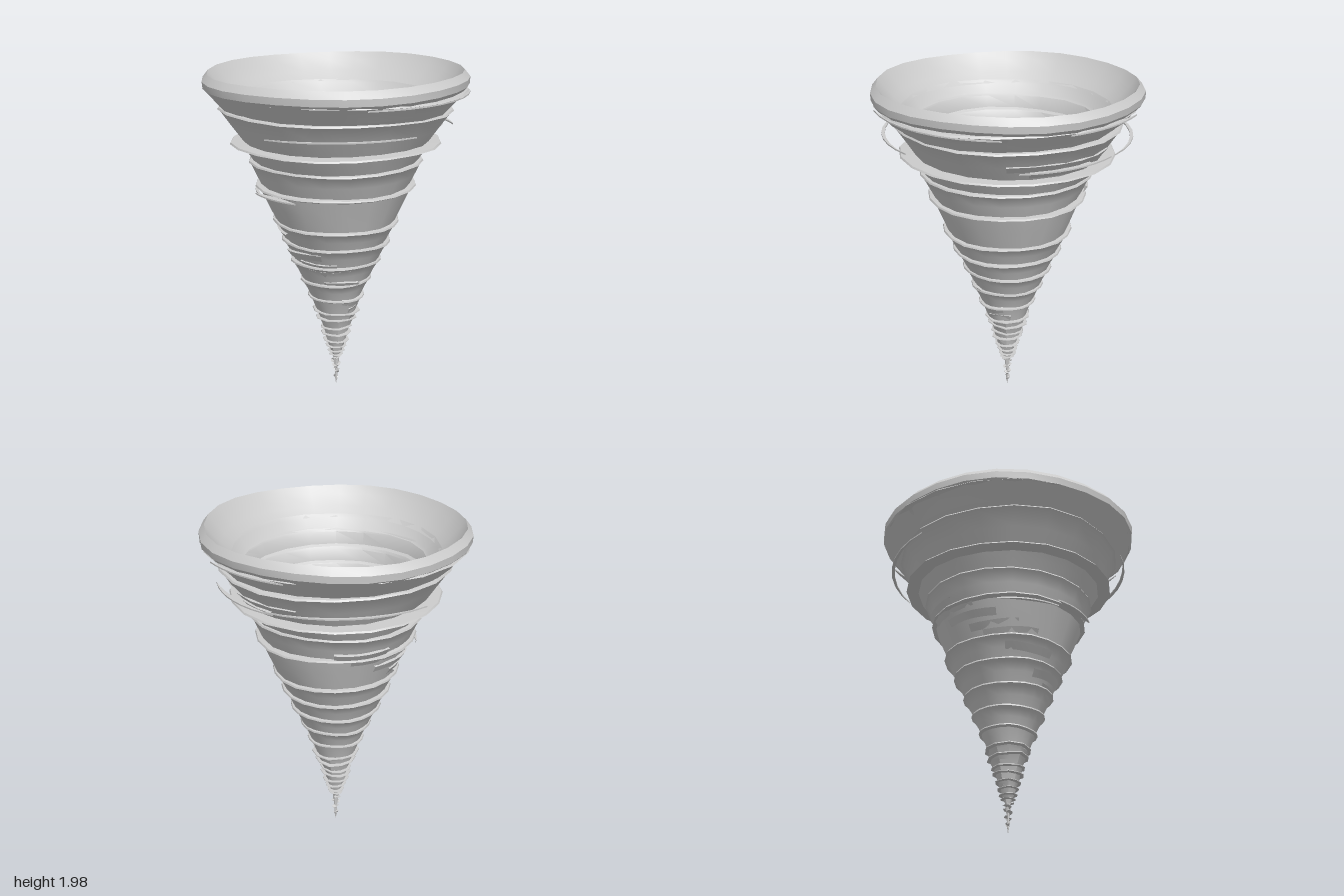
import * as THREE from 'three';
import { toCreasedNormals } from 'three/addons/utils/BufferGeometryUtils.js';

const material = new THREE.MeshStandardMaterial({ color: 0xcccccc, side: THREE.DoubleSide });

// Lathe around y whose rings wander slightly, like torn wind layers
function swirl(name, profile, { sides = 20, start = 0, span = Math.PI * 2, wobble = 0.02, tilt = 0.005, phase = 0, crease = 0.6 } = {}) {
  const points = profile.map(([r, y]) => new THREE.Vector2(r, y));
  const geometry = new THREE.LatheGeometry(points, sides, start, span);
  const p = geometry.attributes.position;
  for (let i = 0; i < p.count; i++) {
    const x = p.getX(i), y = p.getY(i), z = p.getZ(i);
    const a = Math.atan2(x, z);
    const s = 1 + wobble * (0.6 * Math.sin(2 * a + 5 * y + phase) + 0.4 * Math.sin(5 * a - 9 * y + phase));
    const lift = tilt * (Math.sin(a + phase) + 0.5 * Math.sin(4 * a + phase));
    p.setXYZ(i, x * s, y + lift, z * s);
  }
  geometry.computeVertexNormals();
  const mesh = new THREE.Mesh(toCreasedNormals(geometry, crease), material);
  mesh.name = name;
  return mesh;
}

// Wind layers from the tip up: height, wall radius, radius of the ledge on top
const layers = [
  [0.17, 0.014, 0.03], [0.21, 0.024, 0.045], [0.235, 0.035, 0.055], [0.27, 0.046, 0.065], [0.31, 0.06, 0.08],
  [0.36, 0.073, 0.095], [0.4, 0.083, 0.1], [0.46, 0.105, 0.125], [0.51, 0.122, 0.143], [0.61, 0.157, 0.174],
  [0.72, 0.203, 0.218], [0.84, 0.255, 0.273], [0.965, 0.31, 0.33], [1.09, 0.366, 0.384],
  [1.31, 0.447, 0.475], [1.46, 0.503, 0.518], [1.57, 0.555, 0.63], [1.77, 0.668, 0.685], [1.89, 0.747, 0.775],
];

// Funnel wall radius by height
function wallRadius(y) {
  const i = Math.max(1, layers.findIndex(([h]) => h >= y));
  const [y0, r0] = layers[i - 1], [y1, r1] = layers[i];
  return r0 + (r1 - r0) * (y - y0) / (y1 - y0);
}

// Layers lining the inside of the mouth, from the top down: radius, height
const lining = [
  [0.605, 1.83], [0.55, 1.755], [0.52, 1.66], [0.49, 1.57], [0.455, 1.46], [0.42, 1.34], [0.385, 1.22], [0.34, 1.09],
];

// Loose wisps: radius, height, middle angle from +z towards +x, span, width
const wisps = [
  [0.73, 1.68, 2.3, 1.3, 0.02], [0.73, 1.7, -0.75, 1.2, 0.02], [0.69, 1.66, 1.25, 0.9, 0.03],
  [0.78, 1.87, 0.05, 1.25, 0.03], [0.785, 1.87, 1.5, 0.7, 0.03],
  [0.51, 1.285, -1.6, 0.7, 0.05], [0.48, 1.27, -2.3, 0.8, 0.02],
];

export function createModel() {
  const group = new THREE.Group();
  group.name = 'whirlwind';

  // Each wall layer flares upward and ends in a thin torn ledge
  const funnel = new THREE.Group();
  funnel.name = 'funnelWall';
  for (let i = 1; i < layers.length; i++) {
    const [y0, r0] = layers[i - 1], [y1, r1, ledge] = layers[i];
    const h = Math.min(0.016, r1 * 0.08);
    funnel.add(swirl('windLayer', [
      [r0 * 0.97, y0 - h * 0.5], [(r0 + r1) / 2, (y0 + y1) / 2], [r1, y1 - h],
      [ledge, y1 - h * 0.3], [ledge * 0.99, y1 + h * 0.3], [r1 * 0.95, y1 + h * 0.6],
    ], { sides: i < 9 ? 10 : 20, phase: i * 1.3, tilt: Math.min(0.005, r1 * 0.05), wobble: i < 9 ? 0.05 : 0.018 }));
  }
  group.add(funnel);

  // Thick upper rim sloping into the mouth
  group.add(swirl('rim', [
    [0.69, 1.8], [0.745, 1.865], [0.782, 1.905], [0.785, 1.945], [0.752, 1.985],
    [0.72, 1.94], [0.66, 1.875], [0.6, 1.825],
  ], { sides: 26, phase: 0.6, wobble: 0.012, tilt: 0.008 }));

  // Stepped lining inside the mouth
  const mouth = new THREE.Group();
  mouth.name = 'mouthLining';
  for (let i = 1; i < lining.length; i++) {
    const [r0, y0] = lining[i - 1], [r1, y1] = lining[i];
    mouth.add(swirl('liningLayer', [[r0 + 0.012, y0 + 0.008], [r0 - 0.004, y0 - 0.01], [r1 + 0.01, y1 + 0.012], [r1 - 0.006, y1]],
      { phase: i * 1.7, wobble: 0.022 }));
  }
  group.add(mouth);

  // Short tears hugging the outside wall
  const tears = new THREE.Group();
  tears.name = 'tears';
  for (let i = 0; i < 18; i++) {
    const y = 0.5 + 1.33 * ((i * 0.618) % 1);
    const r = wallRadius(y);
    tears.add(swirl('tear', [[wallRadius(y - 0.04) * 0.99, y - 0.04], [r + 0.008, y], [r * 0.98, y + 0.006]],
      { sides: 5, start: i * 2.4, span: 0.6 + 0.6 * ((i * 0.37) % 1), phase: i, tilt: 0.01 }));
  }
  group.add(tears);

  // Thin detached wisps, pointed at both ends
  wisps.forEach(([r, y, middle, span, width], i) => {
    const shape = new THREE.Shape();
    const n = 8;
    for (let k = 0; k <= 2 * n; k++) {
      const t = k <= n ? k / n : 2 - k / n;
      const a = middle + (t - 0.5) * span;
      const d = k <= n ? r : r - width * Math.sin(Math.PI * t);
      shape[k ? 'lineTo' : 'moveTo'](d * Math.sin(a), -d * Math.cos(a));
    }
    const geometry = new THREE.ExtrudeGeometry(shape, { depth: 0.008, bevelEnabled: false });
    geometry.rotateX(-Math.PI / 2);
    const wisp = new THREE.Mesh(geometry, material);
    wisp.name = 'wisp';
    wisp.position.y = y;
    wisp.rotation.z = 0.012 * Math.sin(i * 2);
    group.add(wisp);
  });

  // Ragged needle tip with small flakes
  group.add(swirl('tip', [[0.001, 0.01], [0.009, 0.06], [0.007, 0.1], [0.016, 0.16], [0.018, 0.2]],
    { sides: 7, wobble: 0.2, tilt: 0 }));
  for (let i = 0; i < 8; i++) {
    const y = 0.05 + i * 0.02;
    const r = 0.015 + i * 0.003;
    group.add(swirl('tipFlake', [[0.005, y - 0.014], [r, y], [0.006, y + 0.004]],
      { sides: 4, start: i * 2.4, span: 2.6, tilt: 0.008, phase: i }));
  }
  return group;
}
